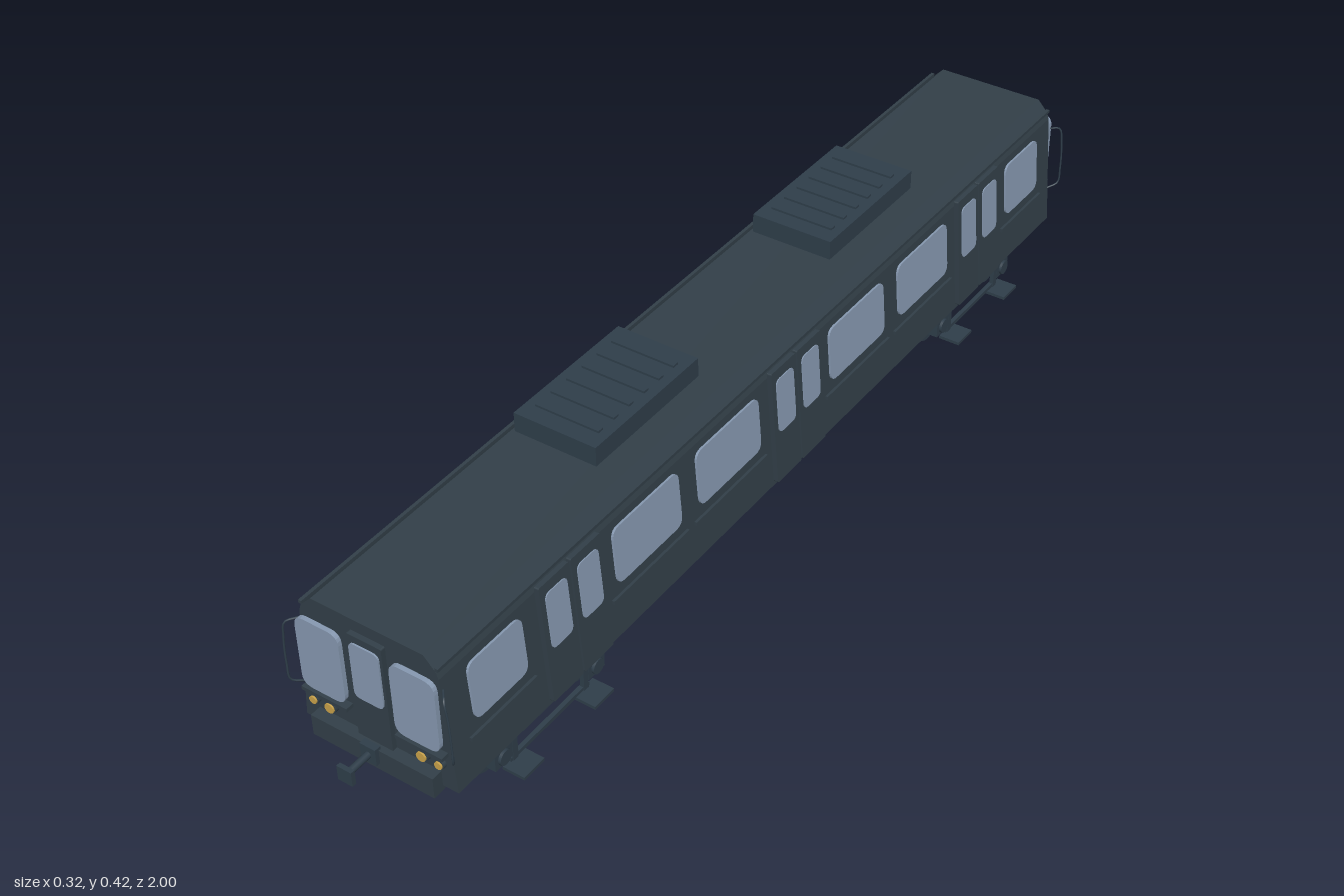
import * as THREE from 'three';

const mat = (name, color) => {
  const m = new THREE.MeshStandardMaterial({ color });
  m.name = name;
  return m;
};

export function createModel() {
  const root = new THREE.Group();
  root.name = 'railCar';
  const paint = mat('bodyPaint', 0x323f48);
  const gear = mat('runningGear', 0x2f3e4a);
  const glass = mat('glass', 0x8698b0);
  const amber = mat('headlightAmber', 0xc9a24a);

  const group = (parent, name, x = 0, y = 0, z = 0) => {
    const g = new THREE.Group();
    g.name = name;
    g.position.set(x, y, z);
    parent.add(g);
    return g;
  };
  const add = (parent, name, geo, m, x = 0, y = 0, z = 0) => {
    const mesh = new THREE.Mesh(geo, m);
    mesh.name = name;
    mesh.position.set(x, y, z);
    parent.add(mesh);
    return mesh;
  };
  const box = (parent, name, m, w, h, d, x, y, z) =>
    add(parent, name, new THREE.BoxGeometry(w, h, d), m, x, y, z);
  // cylinder lying along x
  const axleCyl = (parent, name, m, r, len, x, y, z) => {
    const geo = new THREE.CylinderGeometry(r, r, len, 20).rotateZ(Math.PI / 2);
    return add(parent, name, geo, m, x, y, z);
  };
  // thin rounded plate in the xy plane, given by its limits
  const plate = (parent, name, m, x0, x1, y0, y1, r, z, depth) => {
    const s = new THREE.Shape();
    s.moveTo(x0 + r, y0);
    s.lineTo(x1 - r, y0); s.quadraticCurveTo(x1, y0, x1, y0 + r);
    s.lineTo(x1, y1 - r); s.quadraticCurveTo(x1, y1, x1 - r, y1);
    s.lineTo(x0 + r, y1); s.quadraticCurveTo(x0, y1, x0, y1 - r);
    s.lineTo(x0, y0 + r); s.quadraticCurveTo(x0, y0, x0 + r, y0);
    const geo = new THREE.ExtrudeGeometry(s, { depth, bevelEnabled: false, curveSegments: 5 });
    return add(parent, name, geo, m, 0, 0, z);
  };

  // body shell: leaning sides and chamfered roof
  const half = [[0.147, 0.1], [0.13, 0.32], [0.126, 0.333], [0.105, 0.355]];
  const outline = [...half, ...half.slice().reverse().map(([x, y]) => [-x, y])];
  const shell = new THREE.ExtrudeGeometry(
    new THREE.Shape(outline.map(([x, y]) => new THREE.Vector2(x, y))),
    { depth: 1.84, bevelEnabled: false });
  add(root, 'bodyShell', shell, paint, 0, 0, -0.92);

  // sides: windows, trims and double doors on the leaning wall
  const windows = [[0.74, 0.865], [0.34, 0.515], [0.11, 0.29]];
  for (const turn of [0, Math.PI]) {
    const side = group(root, 'side');
    side.rotation.y = turn;
    const lean = group(side, 'sideWall', 0.147, 0.1, 0);
    lean.rotation.z = Math.atan(0.017 / 0.22);
    const wall = group(lean, 'sideFittings');
    wall.rotation.y = Math.PI / 2;
    for (const s of [1, -1]) {
      for (const [a, b] of windows) {
        const lo = Math.min(a * s, b * s), hi = Math.max(a * s, b * s);
        plate(wall, 'sideWindow', glass, lo, hi, 0.1, 0.206, 0.018, -0.002, 0.006);
        box(wall, 'windowTrim', paint, hi - lo + 0.03, 0.007, 0.006, (lo + hi) / 2, 0.075, 0.002);
      }
    }
    for (const z of [-0.625, 0, 0.625]) {
      for (const s of [-1, 1]) {
        const c = z + s * 0.039;
        plate(wall, 'doorLeaf', paint, c - 0.037, c + 0.037, 0.008, 0.23, 0.003, 0, 0.009);
        plate(wall, 'doorWindow', glass, c - 0.026, c + 0.026, 0.105, 0.211, 0.012, 0.007, 0.004);
      }
    }
    // gutter along the roof edge
    box(side, 'roofGutter', paint, 0.006, 0.006, 1.84, 0.127, 0.337, 0);
  }

  // ends, identical front and back
  for (const turn of [0, Math.PI]) {
    const end = group(root, 'carEnd');
    end.rotation.y = turn;
    plate(end, 'endDoor', paint, -0.033, 0.033, 0.12, 0.333, 0.003, 0.92, 0.009);
    plate(end, 'endDoorWindow', glass, -0.028, 0.028, 0.212, 0.32, 0.012, 0.927, 0.005);
    box(end, 'bumper', paint, 0.234, 0.04, 0.025, 0, 0.11, 0.928);
    for (const s of [-1, 1]) {
      const lo = Math.min(s * 0.047, s * 0.131), hi = Math.max(s * 0.047, s * 0.131);
      plate(end, 'windshield', glass, lo, hi, 0.182, 0.32, 0.02, 0.925, 0.008);
      box(end, 'windshieldSill', paint, 0.088, 0.007, 0.016, s * 0.09, 0.173, 0.927);
      for (const [x, r] of [[0.088, 0.009], [0.12, 0.007]]) {
        const housing = new THREE.CylinderGeometry(r + 0.002, r + 0.002, 0.008, 16).rotateX(Math.PI / 2);
        add(end, 'headlightHousing', housing, paint, s * x, 0.15, 0.923);
        const lens = new THREE.CylinderGeometry(r, r, 0.006, 16).rotateX(Math.PI / 2);
        add(end, 'headlight', lens, amber, s * x, 0.15, 0.927);
      }
      // corner grab rail
      const rail = new THREE.CatmullRomCurve3([
        [0.135, 0.302, 0.918], [0.149, 0.298, 0.934], [0.155, 0.265, 0.936],
        [0.157, 0.21, 0.936], [0.155, 0.178, 0.934], [0.142, 0.17, 0.918],
      ].map(([x, y, z]) => new THREE.Vector3(s * x, y, z)));
      add(end, 'grabRail', new THREE.TubeGeometry(rail, 24, 0.0018, 6), gear);
    }
    // coupler
    const shaft = new THREE.CylinderGeometry(0.006, 0.006, 0.075, 12).rotateX(Math.PI / 2);
    add(end, 'couplerShaft', shaft, gear, 0, 0.12, 0.957);
    box(end, 'couplerMount', gear, 0.03, 0.032, 0.012, 0, 0.12, 0.942);
    box(end, 'couplerHead', gear, 0.028, 0.028, 0.008, 0, 0.12, 0.996);
  }

  // roof units with slats
  for (const s of [-1, 1]) {
    const unit = group(root, 'roofUnit', 0, 0, s * 0.337);
    box(unit, 'roofUnitCase', gear, 0.157, 0.036, 0.275, 0, 0.398, 0);
    for (let i = 0; i < 6; i++)
      box(unit, 'roofUnitSlat', gear, 0.122, 0.005, 0.012, 0, 0.4175, -0.1 + i * 0.04);
  }

  // underfloor equipment
  for (const [z0, z1, y0] of [[0.095, 0.4, 0.063], [-0.06, 0.067, 0.07], [-0.375, -0.09, 0.053]])
    box(root, 'underfloorBox', gear, 0.23, 0.102 - y0, z1 - z0, 0, (0.102 + y0) / 2, (z0 + z1) / 2);

  // bogies
  for (const bz of [-0.67, 0.67]) {
    const bogie = group(root, 'bogie', 0, 0, bz);
    box(bogie, 'bolster', gear, 0.22, 0.046, 0.11, 0, 0.064, 0);
    box(bogie, 'pivot', gear, 0.12, 0.02, 0.08, 0, 0.094, 0);
    for (const wz of [-0.118, 0.118]) {
      axleCyl(bogie, 'axle', gear, 0.01, 0.22, 0, 0.046, wz);
      for (const s of [-1, 1]) {
        axleCyl(bogie, 'wheel', gear, 0.04, 0.012, s * 0.086, 0.045, wz);
        axleCyl(bogie, 'wheelFlange', gear, 0.044, 0.004, s * 0.079, 0.045, wz);
        box(bogie, 'axleBox', gear, 0.02, 0.036, 0.042, s * 0.112, 0.05, wz);
        axleCyl(bogie, 'axleCap', gear, 0.014, 0.008, s * 0.123, 0.048, wz);
      }
    }
    for (const s of [-1, 1]) {
      box(bogie, 'sideFrame', gear, 0.018, 0.016, 0.33, s * 0.112, 0.08, 0);
      box(bogie, 'shoeBeam', gear, 0.008, 0.008, 0.2, s * 0.116, 0.022, 0);
      for (const z of [-0.09, 0.09]) {
        box(bogie, 'shoeHanger', gear, 0.008, 0.055, 0.012, s * 0.118, 0.046, z);
        box(bogie, 'currentShoe', gear, 0.042, 0.006, 0.05, s * 0.136, 0.016, z);
        const spring = new THREE.CylinderGeometry(0.011, 0.011, 0.03, 12);
        add(bogie, 'spring', spring, gear, s * 0.112, 0.088, z * 0.5);
      }
    }
  }
  return root;
}
